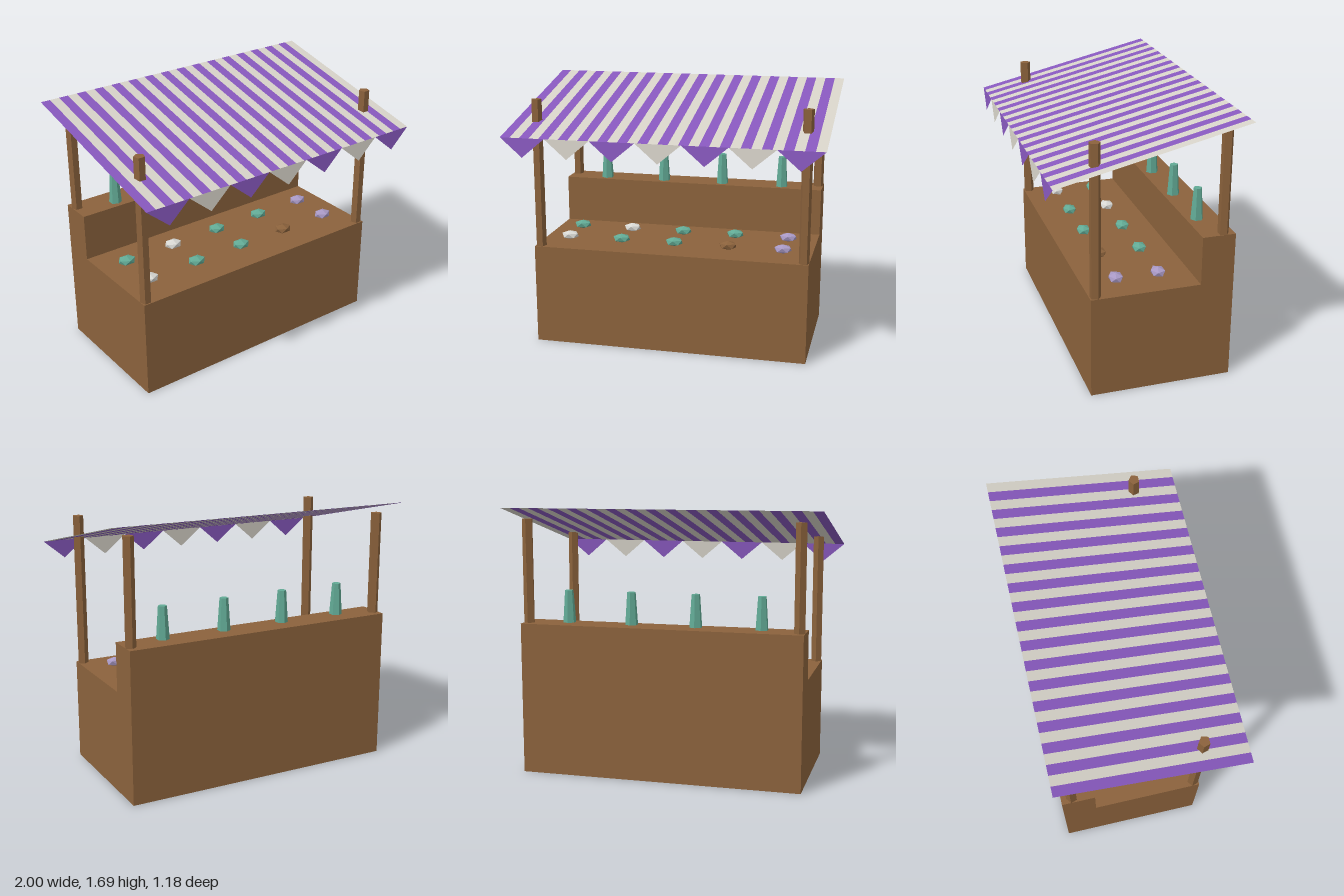
import * as THREE from 'three';

const mat = (name, color, side = THREE.FrontSide) => {
  const m = new THREE.MeshStandardMaterial({ color, side, flatShading: true });
  m.name = name;
  return m;
};

export function createModel() {
  const wood = mat('wood', 0x8b623c);
  const purple = mat('purple cloth', 0x8758bd, THREE.DoubleSide);
  const cream = mat('cream cloth', 0xd6d2c8, THREE.DoubleSide);
  const teal = mat('teal', 0x62aa95);
  const white = mat('white gem', 0xd8d8d4);
  const lilac = mat('lilac gem', 0xa898c4);

  const stall = new THREE.Group();
  stall.name = 'marketStall';
  const add = (name, geometry, material, x = 0, y = 0, z = 0) => {
    const mesh = new THREE.Mesh(geometry, material);
    mesh.name = name;
    mesh.position.set(x, y, z);
    stall.add(mesh);
    return mesh;
  };

  // Stepped counter: side profile (z, y) extruded along x
  const profile = new THREE.Shape([
    [-0.56, 0], [0.34, 0], [0.34, 0.655], [-0.35, 0.655], [-0.35, 0.965], [-0.56, 0.965],
  ].map(([z, y]) => new THREE.Vector2(z, y)));
  const counter = new THREE.ExtrudeGeometry(profile, { depth: 1.79, bevelEnabled: false });
  counter.translate(0, 0, -0.895).rotateY(-Math.PI / 2);
  add('counter', counter, wood);

  // Five-sided posts, the front pair piercing the awning
  const top = 1.62;
  for (const [name, z, base] of [['frontPost', 0.304, 0.64], ['backPost', -0.491, 0.95]]) {
    const post = new THREE.CylinderGeometry(0.035, 0.035, top - base, 5).rotateY(Math.PI);
    for (const x of [-0.862, 0.862]) add(name, post, wood, x, (top + base) / 2, z);
  }

  // Sloping striped awning, one cell per stripe
  const front = { y: 1.42, z: 0.58 }, back = { y: 1.69, z: -0.595 };
  const rise = back.y - front.y, run = front.z - back.z, stripes = 32;
  const cloth = new THREE.PlaneGeometry(2, Math.hypot(rise, run), stripes, 1);
  cloth.rotateX(-Math.atan2(run, rise));
  for (let i = 0; i < stripes; i++) cloth.addGroup(i * 6, 6, i % 2);
  add('awning', cloth, [purple, cream], 0, (front.y + back.y) / 2, (front.z + back.z) / 2);

  // Triangular pennants along the front edge
  const w = 2 / 7;
  const pennant = new THREE.BufferGeometry();
  pennant.setAttribute('position', new THREE.Float32BufferAttribute(
    [-w / 2, 0, 0, 0, -0.12, 0.01, w / 2, 0, 0], 3));
  pennant.computeVertexNormals();
  for (let i = 0; i < 7; i++) {
    add('pennant', pennant, i % 2 ? cream : purple, -1 + w * (i + 0.5), front.y, front.z);
  }

  // Tapered six-sided crystals on the back shelf
  const crystal = new THREE.CylinderGeometry(0.027, 0.041, 0.205, 6);
  for (const x of [-0.62, -0.207, 0.207, 0.62]) add('crystal', crystal, teal, x, 1.0675, -0.418);

  // Flattened gems in two rows on the counter
  const gem = new THREE.IcosahedronGeometry(1, 0).rotateX(-Math.atan(1.618));
  const rows = [
    [0.13, [white, teal, teal, wood, lilac]],
    [-0.14, [teal, white, teal, teal, lilac]],
  ];
  for (const [z, colours] of rows) {
    colours.forEach((material, i) => {
      const mesh = add('gem', gem, material, -0.72 + i * 0.357, 0.686, z);
      mesh.scale.set(0.062, 0.03, 0.05);
    });
  }
  return stall;
}
